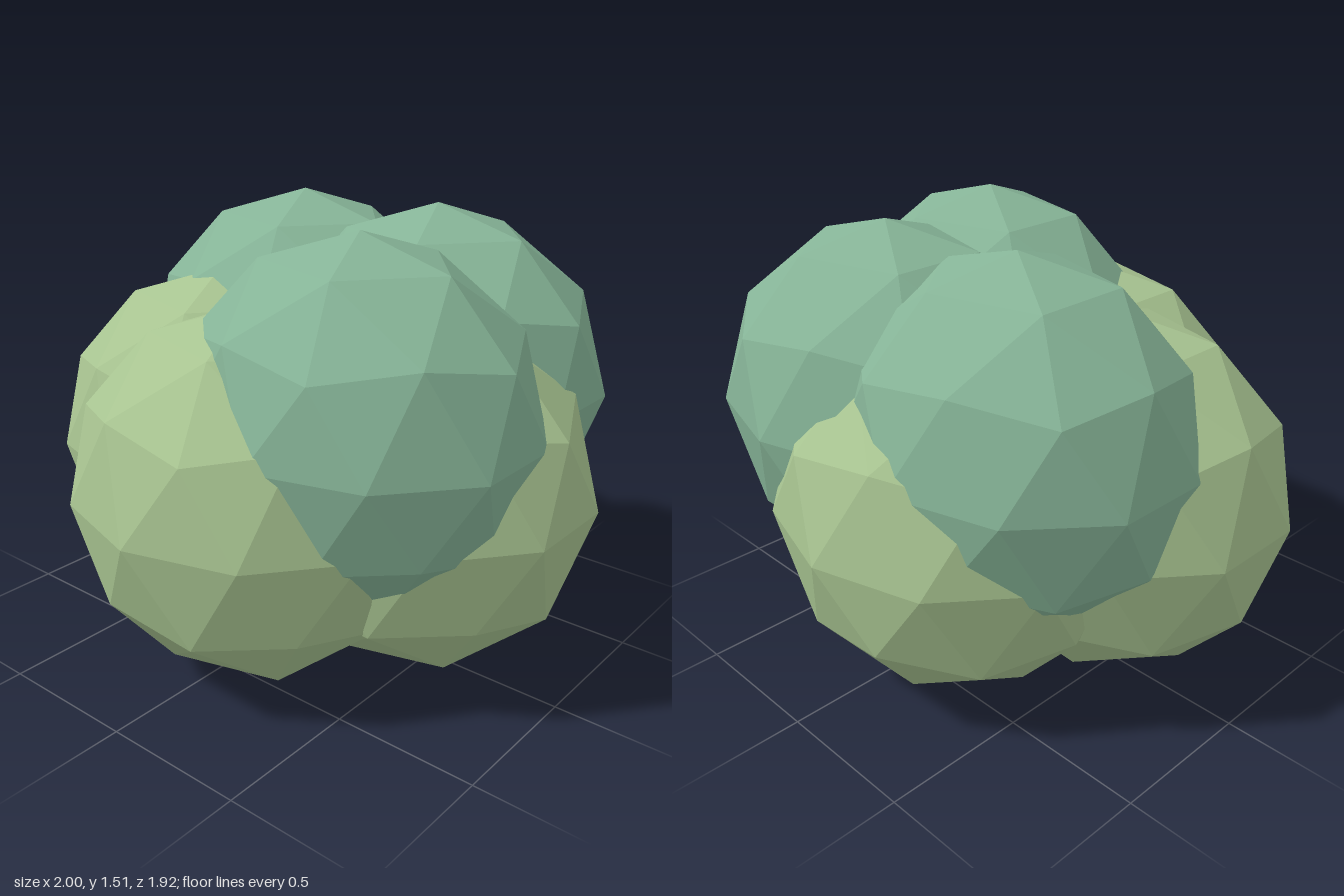
import * as THREE from 'three';

// Faceted leaf ball: an 80-sided icosphere with a pole up, squashed slightly per axis
function leafBall(rx, ry, rz) {
  const g = new THREE.IcosahedronGeometry(1, 1);
  g.rotateX(-Math.atan((1 + Math.sqrt(5)) / 2)); // bring a five-sided corner to the top
  g.rotateY(Math.PI / 2); // upper ring corner points to +x
  g.scale(rx, ry, rz);
  g.computeVertexNormals(); // unshared corners give flat facets
  return g;
}

export function createModel() {
  const bush = new THREE.Group();
  bush.name = 'bush';

  const oliveLeaf = new THREE.MeshStandardMaterial({ color: 0xa8c491 });
  oliveLeaf.name = 'olive leaf';
  const tealLeaf = new THREE.MeshStandardMaterial({ color: 0x86b497 });
  tealLeaf.name = 'teal leaf';

  function addLayer(name, geometry, material, y, centres) {
    const layer = new THREE.Group();
    layer.name = name;
    centres.forEach(([part, x, z]) => {
      const ball = new THREE.Mesh(geometry, material);
      ball.name = part;
      ball.position.set(x, y, z);
      layer.add(ball);
    });
    bush.add(layer);
  }

  // Lower foliage: four balls around the middle
  addLayer('lowerFoliage', leafBall(0.629, 0.632, 0.566), oliveLeaf, 0.632, [
    ['lowerLeftFoliage', 0.402, -0.01],
    ['lowerFrontFoliage', 0.032, 0.393],
    ['lowerRightFoliage', -0.402, 0.065],
    ['lowerBackFoliage', -0.11, -0.396],
  ]);

  // Upper foliage: three balls nested on top
  addLayer('upperFoliage', leafBall(0.624, 0.612, 0.54), tealLeaf, 0.9, [
    ['upperFrontLeftFoliage', 0.34, 0.217],
    ['upperBackLeftFoliage', 0.245, -0.342],
    ['upperBackRightFoliage', -0.304, -0.288],
  ]);

  return bush;
}
